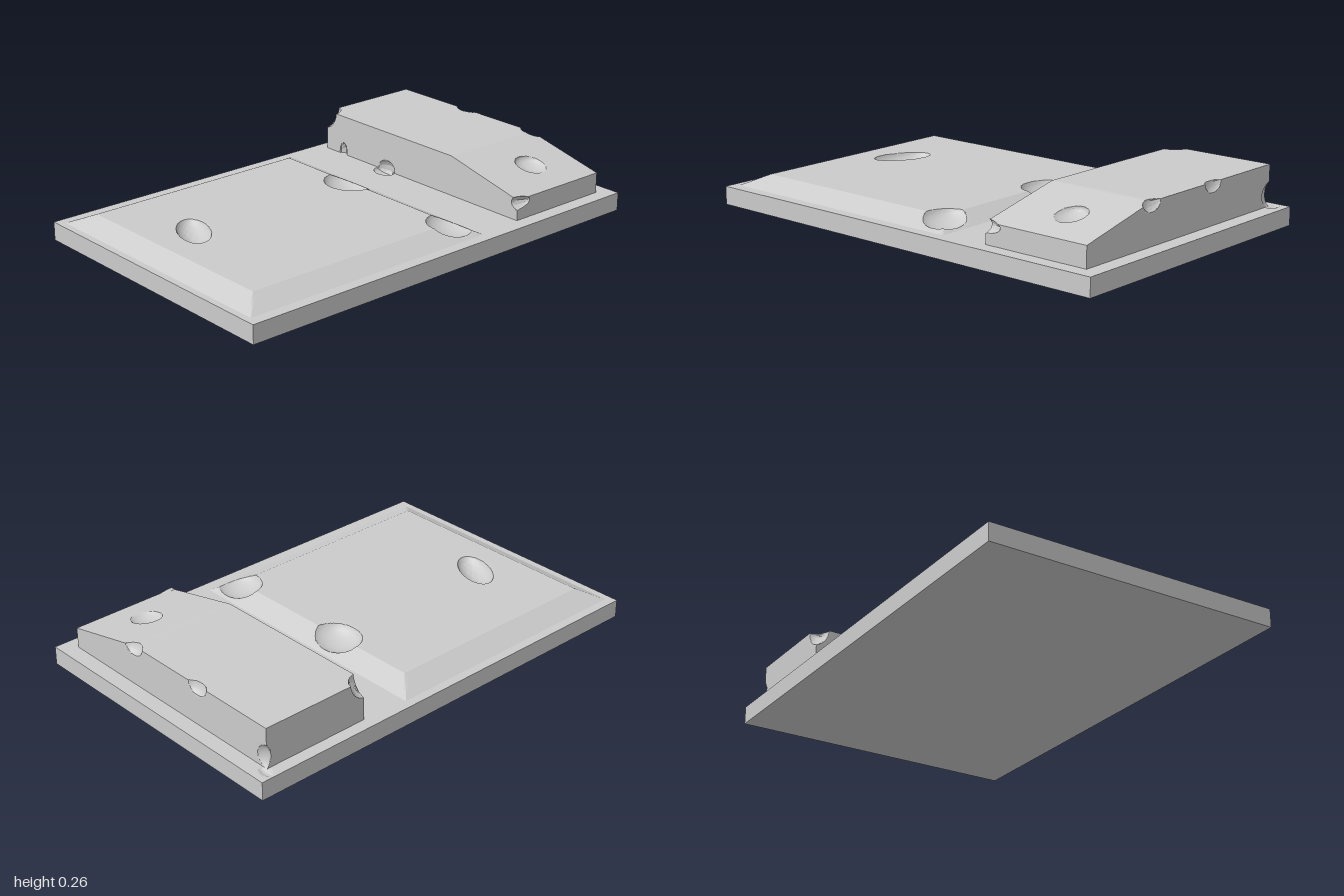
import * as THREE from 'three';
import { toCreasedNormals } from 'three/addons/utils/BufferGeometryUtils.js';

const material = new THREE.MeshStandardMaterial({ color: 0xcccccc });
const clamp = THREE.MathUtils.clamp;

// A scooped-out ellipsoid: centre, radii, turn about y
const scoop = (x, y, z, rx, ry, rz, turn = 0) => ({
  centre: new THREE.Vector3(x, y, z),
  radii: new THREE.Vector3(rx, ry, rz),
  turn,
});

const UP = new THREE.Vector3(0, 1, 0);

// Moves each vertex by a rule, then pushes those inside a scoop out to its far wall
function sculpt(geometry, rule, scoops) {
  const pos = geometry.attributes.position;
  const p = new THREE.Vector3();
  for (let i = 0; i < pos.count; i++) {
    p.fromBufferAttribute(pos, i);
    rule(p);
    for (const s of scoops) {
      p.sub(s.centre).applyAxisAngle(UP, -s.turn).divide(s.radii);
      const r = p.length();
      if (r < 1 && r > 1e-5) p.divideScalar(r);
      p.multiply(s.radii).applyAxisAngle(UP, s.turn).add(s.centre);
    }
    pos.setXYZ(i, p.x, p.y, p.z);
  }
  return toCreasedNormals(geometry, 0.35);
}

function addMesh(group, name, geometry) {
  const mesh = new THREE.Mesh(geometry, material);
  mesh.name = name;
  group.add(mesh);
}

export function createModel() {
  const model = new THREE.Group();
  model.name = 'chippedSlab';

  // Scoops shared by the slab and the block standing on it
  const footScoops = [
    scoop(0.425, 0.085, -0.2, 0.04, 0.045, 0.055),
    scoop(0.945, 0.13, -0.612, 0.035, 0.06, 0.07),
  ];

  // Slab sides and underside, left open at the top
  const sides = new THREE.BoxGeometry(2, 0.08, 1.31).translate(0, 0.04, 0);
  const index = Array.from(sides.index.array);
  index.splice(12, 6);
  sides.setIndex(index);
  sides.clearGroups();
  addMesh(model, 'slabSides', sides);

  // Slab top with a low bevelled plateau and three worn hollows
  const top = new THREE.PlaneGeometry(2, 1.31, 200, 131).rotateX(-Math.PI / 2);
  const plateau = (p) => {
    const inset = Math.min(
      (p.x + 0.97) / 0.09, (0.23 - p.x) / 0.09,
      (p.z + 0.615) / 0.1, (0.605 - p.z) / 0.1,
    );
    p.y = 0.08 + 0.045 * clamp(inset, 0, 1);
  };
  addMesh(model, 'slabTop', sculpt(top, plateau, [
    scoop(-0.69, 0.14, -0.11, 0.07, 0.06, 0.135, -0.45),
    scoop(0.145, 0.145, -0.12, 0.105, 0.072, 0.12),
    scoop(0.15, 0.14, 0.505, 0.105, 0.068, 0.115),
    ...footScoops,
  ]));

  // Raised block with a sloping front roof and chipped edges
  const block = new THREE.BoxGeometry(0.49, 1, 1.19, 49, 18, 119).translate(0.685, 0.5, -0.005);
  const roof = (p) => {
    const height = 0.178 - 0.088 * clamp((p.z - 0.2) / 0.39, 0, 1);
    p.y = 0.08 + p.y * height;
  };
  addMesh(model, 'block', sculpt(block, roof, [
    scoop(0.945, 0.262, 0.2, 0.045, 0.05, 0.06),    // right edge, front
    scoop(0.945, 0.264, -0.2, 0.04, 0.054, 0.06),   // right edge, back
    scoop(0.71, 0.222, 0.42, 0.068, 0.038, 0.082),  // sloping roof
    scoop(0.43, 0.268, -0.61, 0.08, 0.09, 0.07),    // back left corner
    scoop(0.43, 0.155, 0.6, 0.085, 0.03, 0.045),    // front left corner
    scoop(0.435, 0.085, -0.49, 0.025, 0.05, 0.025), // left foot notch
    ...footScoops,
  ]));

  return model;
}
